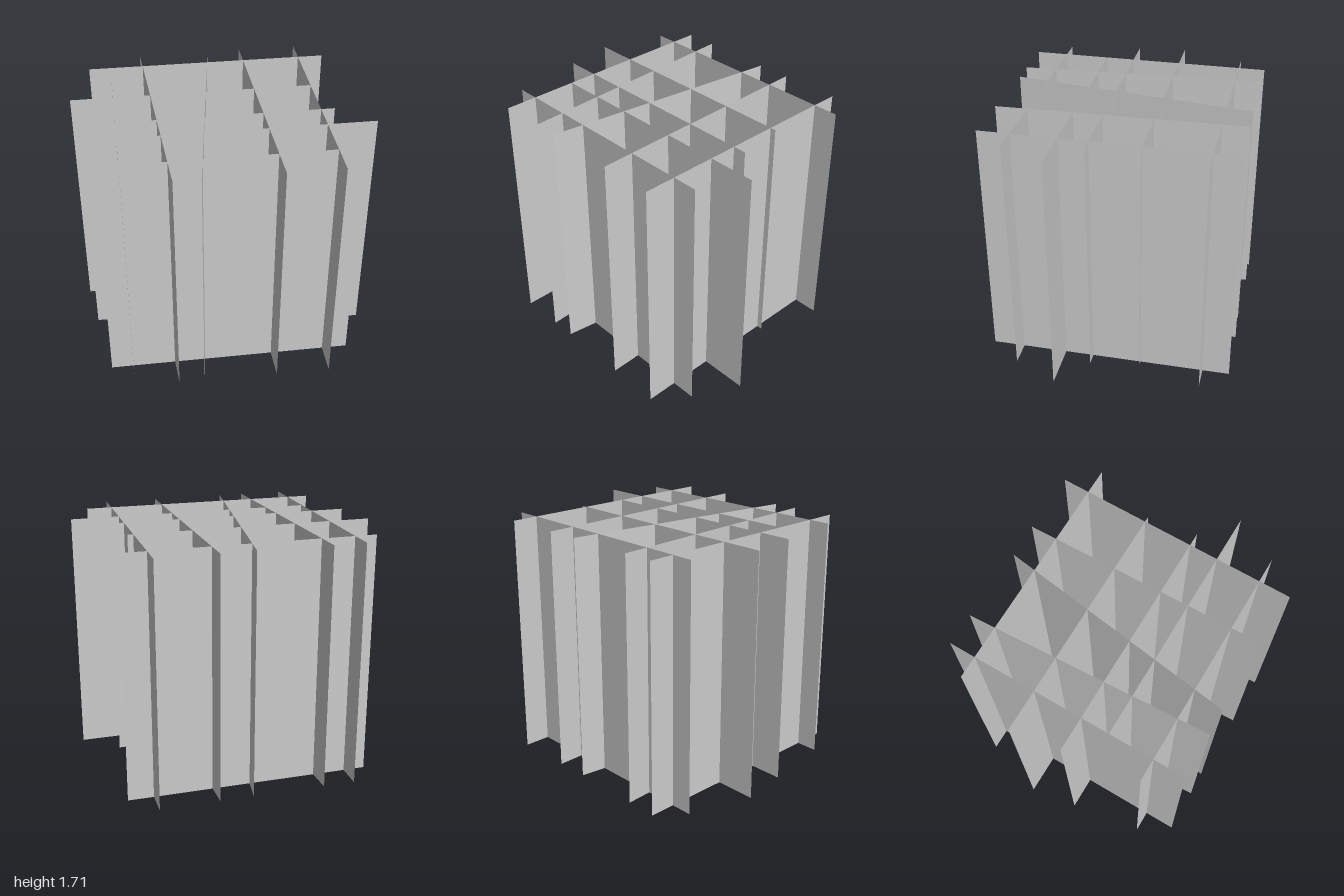
import * as THREE from 'three';

const SIZE = 1.705; // every panel is the same thin square sheet

export function createModel() {
  const model = new THREE.Group();
  model.name = 'crossedPanels';
  const material = new THREE.MeshStandardMaterial({ color: 0xcccccc, side: THREE.DoubleSide });
  const sheet = new THREE.PlaneGeometry(SIZE, SIZE);

  const addPanel = (name, x, z, turn) => {
    const panel = new THREE.Mesh(sheet, material);
    panel.name = name;
    panel.position.set(x, SIZE / 2, z);
    panel.rotation.y = turn;
    model.add(panel);
  };

  // Crosswise panels facing the front: [sideways shift, depth]
  const crosswise = [[-0.01, 0.63], [0.148, 0.317], [-0.094, 0.117], [-0.148, -0.225], [-0.01, -0.667]];
  crosswise.forEach(([x, z], i) => addPanel(`crosswisePanel${i + 1}`, x, z, 0));

  // Lengthwise panels, some slightly turned: [x at the front edge, x at the back edge]
  const lengthwise = [[-0.71, -0.71], [-0.4, -0.488], [-0.224, 0.016], [0.291, 0.251], [0.665, 0.665]];
  lengthwise.forEach(([front, back], i) =>
    addPanel(`lengthwisePanel${i + 1}`, (front + back) / 2, 0, Math.PI / 2 + Math.asin((front - back) / SIZE)));

  return model;
}
